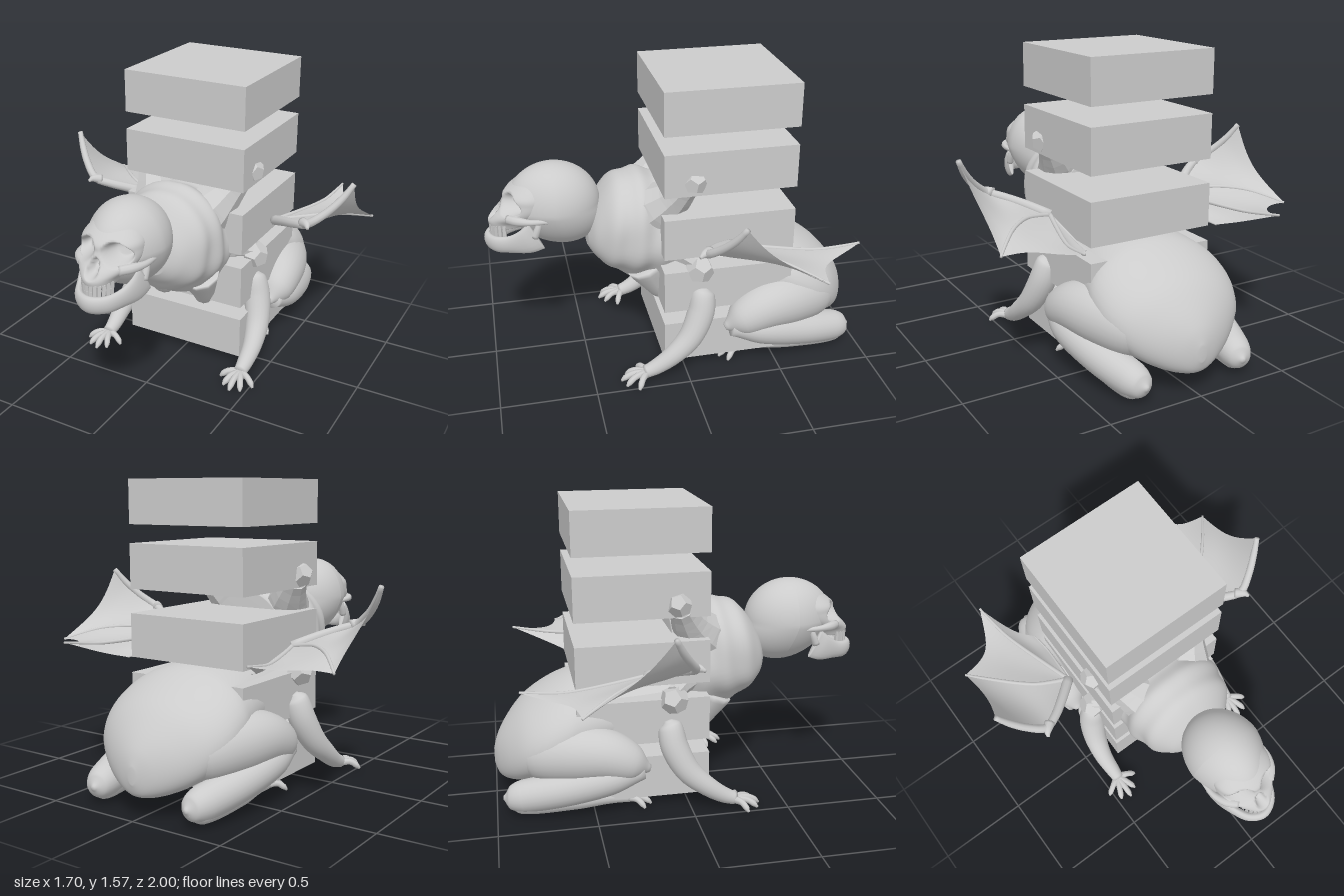
import * as THREE from 'three';

const grey = new THREE.MeshStandardMaterial({ color: 0xcccccc });
const greyFlat = new THREE.MeshStandardMaterial({ color: 0xcccccc, flatShading: true });
const greyThin = new THREE.MeshStandardMaterial({ color: 0xcccccc, side: THREE.DoubleSide });
const V = (x, y, z) => new THREE.Vector3(x, y, z);
const smooth = THREE.MathUtils.smoothstep;

function part(parent, name, geometry, material = grey) {
  const mesh = new THREE.Mesh(geometry, material);
  mesh.name = name;
  parent.add(mesh);
  return mesh;
}

// Closed skin over rows of rings; place(i, angle) gives a point, centre(i) the cap centre
function skin(rows, sides, place, centre) {
  const pos = [], idx = [];
  for (let i = 0; i <= rows; i++)
    for (let j = 0; j < sides; j++) pos.push(...place(i, (j / sides) * Math.PI * 2).toArray());
  const first = (rows + 1) * sides;
  pos.push(...centre(0).toArray(), ...centre(rows).toArray());
  for (let j = 0; j < sides; j++) {
    const k = (j + 1) % sides;
    for (let i = 0; i < rows; i++) {
      const a = i * sides + j, b = i * sides + k;
      idx.push(a, b, a + sides, b, b + sides, a + sides);
    }
    idx.push(first, k, j, first + 1, rows * sides + j, rows * sides + k);
  }
  const g = new THREE.BufferGeometry();
  g.setAttribute('position', new THREE.Float32BufferAttribute(pos, 3));
  g.setIndex(idx);
  g.computeVertexNormals();
  return g;
}

// Smooth sampling of a table of cross-sections
function sample(table, t) {
  const f = t * (table.length - 1), i = Math.min(Math.floor(f), table.length - 2), u = f - i;
  const at = (k) => table[Math.max(0, Math.min(table.length - 1, k))];
  return table[0].map((_, c) => {
    const [a, b, d, e] = [at(i - 1)[c], at(i)[c], at(i + 1)[c], at(i + 2)[c]];
    return b + 0.5 * u * (d - a + u * (2 * a - 5 * b + 4 * d - e + u * (3 * (b - d) + e - a)));
  });
}

// Tapered limb through points [x, y, z, radius, height radius if not round], starting from an "up" hint
function limb(points, sides, rows, up = V(0.31, 0.83, -0.46)) {
  const curve = new THREE.CatmullRomCurve3(points.map((p) => V(p[0], p[1], p[2])));
  const dirs = [], ups = [];
  for (let i = 0; i <= rows; i++) {
    dirs.push(curve.getTangent(i / rows));
    const n = (i ? ups[i - 1] : up).clone();
    ups.push(n.addScaledVector(dirs[i], -n.dot(dirs[i])).normalize());
  }
  const centre = (i) => curve.getPoint(i / rows);
  return skin(rows, sides, (i, a) => {
    const [, , , r, h = r] = sample(points, i / rows);
    return centre(i).addScaledVector(ups[i], Math.max(0.002, h) * Math.cos(a))
      .addScaledVector(dirs[i].clone().cross(ups[i]), Math.max(0.002, r) * Math.sin(a));
  }, centre);
}

// Body loft along z from rows [z, bottom, top, half width]
function loftZ(table, rows, sides, warp = (p) => p) {
  const centre = (i) => { const s = sample(table, i / rows); return V(0, (s[1] + s[2]) / 2, s[0]); };
  return skin(rows, sides, (i, a) => {
    const s = sample(table, i / rows);
    return warp(centre(i).add(V(s[3] * Math.cos(a), ((s[2] - s[1]) / 2) * Math.sin(a), 0)));
  }, centre);
}

// Eye sockets and nose opening pressed into the face
function carve(p) {
  const bowl = (dx, dy) => smooth(1.25 - Math.hypot(dx, dy), 0, 0.6);
  const eye = bowl((Math.abs(p.x) - 0.084) / 0.054, (p.y - 0.952 + 0.25 * (Math.abs(p.x) - 0.084)) / 0.044);
  const nose = bowl(p.x / (0.012 + 0.25 * Math.max(0, 0.94 - p.y)), (p.y - 0.893) / 0.038);
  p.z -= smooth(p.z, 0.72, 0.82) * (0.09 * eye + 0.055 * nose);
  return p;
}

function makeSkull() {
  const skull = new THREE.Group();
  skull.name = 'skull';
  // Braincase
  const brain = new THREE.SphereGeometry(1, 72, 56);
  const pos = brain.attributes.position;
  for (let i = 0; i < pos.count; i++) {
    const p = V(pos.getX(i), pos.getY(i), pos.getZ(i));
    const narrow = 1 - 0.16 * Math.max(0, p.z) - 0.14 * Math.max(0, -p.y);
    p.set(p.x * 0.203 * narrow, 0.905 + p.y * 0.225, 0.63 + p.z * 0.245 - 0.06 * Math.max(0, -p.y));
    carve(p);
    pos.setXYZ(i, p.x, p.y, p.z);
  }
  brain.computeVertexNormals();
  part(skull, 'cranium', brain);
  // Face from horizontal rings [y, z centre, half width, half depth]
  const face = [[0.812, 0.865, 0.078, 0.1], [0.845, 0.845, 0.095, 0.125], [0.88, 0.8, 0.135, 0.145],
    [0.915, 0.765, 0.155, 0.145], [0.955, 0.745, 0.16, 0.145], [0.995, 0.735, 0.155, 0.142], [1.05, 0.7, 0.12, 0.11]];
  const mid = (i) => { const s = sample(face, i / 48); return V(0, s[0], s[1]); };
  part(skull, 'face', skin(48, 96, (i, a) => {
    const s = sample(face, i / 48);
    return carve(mid(i).add(V(s[2] * Math.cos(a), 0, -s[3] * Math.sin(a))));
  }, mid));
  // Lower jaw as a bent plate, deep at the hinge and pointed at the chin
  const half = [[0.155, 0.795, 0.735, 0.014, 0.08], [0.145, 0.765, 0.79, 0.02, 0.07], [0.115, 0.742, 0.865, 0.022, 0.05],
    [0.07, 0.73, 0.94, 0.024, 0.046]];
  const jaw = [...half.map(([x, ...rest]) => [-x, ...rest]), [0, 0.728, 0.972, 0.026, 0.046], ...half.slice().reverse()];
  part(skull, 'jaw', limb(jaw, 16, 56, V(0, 1, 0)));
  for (const s of [-1, 1]) {
    part(skull, 'jawHinge', limb([[s * 0.155, 0.79, 0.745, 0.02], [s * 0.158, 0.84, 0.725, 0.018], [s * 0.155, 0.885, 0.71, 0.012]], 10, 8));
    part(skull, 'cheekbone', limb([[s * 0.1, 0.88, 0.87, 0.024], [s * 0.145, 0.885, 0.825, 0.024],
      [s * 0.175, 0.885, 0.76, 0.016], [s * 0.175, 0.88, 0.66, 0.012]], 10, 16));
  }
  // Two rows of teeth
  for (const [name, y, w] of [['upperTooth', 0.808, 0.08], ['lowerTooth', 0.775, 0.076]])
    for (let i = 0; i < 12; i++) {
      const a = ((i - 5.5) / 11) * 2.5;
      const tooth = part(skull, name, new THREE.BoxGeometry(0.016, 0.032, 0.016));
      tooth.position.set(w * Math.sin(a), y + 0.012 * (1 - Math.cos(a)), 0.86 + 0.1 * Math.cos(a));
      tooth.rotation.y = a;
    }
  return skull;
}

function makeWing(s) {
  const wing = new THREE.Group();
  wing.name = s > 0 ? 'leftWing' : 'rightWing';
  const root = V(s * 0.39, 0.76, -0.23);
  const P = (x, y, z) => V(s * x, y, z);
  // Ribs as curves from the root to the tips
  const ribs = [
    [P(0.54, 0.83, -0.1), P(0.65, 0.87, -0.04), P(0.77, 0.97, -0.11), P(0.84, 1.08, -0.17)],
    [P(0.55, 0.79, -0.3), P(0.7, 0.785, -0.44), P(0.825, 0.735, -0.595)],
    [P(0.46, 0.75, -0.45), P(0.52, 0.75, -0.66), P(0.55, 0.78, -0.86)],
    [P(0.38, 0.72, -0.36), P(0.375, 0.69, -0.47), P(0.385, 0.68, -0.58)],
  ].map((r) => new THREE.CatmullRomCurve3([root, ...r]));
  ribs.forEach((rib, k) => {
    const r = [0.028, 0.013, 0.013, 0.008][k];
    const pts = rib.getPoints(6).map((p, i) => [...p.toArray(), r * (i < 6 ? 1 - i / 15 : 0.5)]);
    part(wing, 'wingRib', limb(pts, 10, 24));
  });
  part(wing, 'wingClaw', limb([[s * 0.62, 0.865, -0.055, 0.028], [s * 0.655, 0.875, -0.02, 0.02], [s * 0.67, 0.865, 0.005, 0.008]], 10, 8));
  // Scalloped skin between neighbouring ribs
  for (let k = 0; k < 3; k++) {
    const n = 16, sheet = new THREE.PlaneGeometry(1, 1, n, n), pos = sheet.attributes.position;
    for (let i = 0; i < pos.count; i++) {
      const u = pos.getX(i) + 0.5, t = pos.getY(i) + 0.5, bow = Math.sin(Math.PI * u);
      const reach = t * (1 - [0.07, 0.14, 0.12][k] * bow);
      const p = ribs[k].getPoint(reach).lerp(ribs[k + 1].getPoint(reach), u);
      pos.setXYZ(i, p.x, p.y - 0.02 * bow * t, p.z);
    }
    sheet.computeVertexNormals();
    part(wing, 'wingMembrane', sheet, greyThin);
  }
  return wing;
}

// Spread digits from a palm
function addDigits(parent, name, s, x, y, z, tips, r) {
  for (const [dx, dz] of tips)
    part(parent, name, limb([[s * x, y, z, r * 1.3], [s * (x + dx * 0.55), y + 0.005, z + dz * 0.55, r],
      [s * (x + dx * 0.85), y - 0.015, z + dz * 0.85, r * 0.95], [s * (x + dx), 0.018, z + dz, r * 0.4]], 8, 10));
}

export function createModel() {
  const model = new THREE.Group();
  model.name = 'wingedSkullCreature';

  // Five floating slabs
  for (const [low, high] of [[0.065, 0.295], [0.37, 0.605], [0.685, 0.91], [1.035, 1.265], [1.36, 1.585]])
    part(model, 'slab', new THREE.BoxGeometry(0.69, high - low, 0.69)).position.set(0.012, (low + high) / 2, -0.235);

  model.add(makeSkull());

  // Hindquarters and back
  part(model, 'hindBody', loftZ([[-1, 0.19, 0.27, 0.02], [-0.975, 0.13, 0.35, 0.11], [-0.92, 0.11, 0.44, 0.22],
    [-0.84, 0.12, 0.53, 0.32], [-0.74, 0.15, 0.6, 0.375], [-0.63, 0.19, 0.655, 0.385], [-0.54, 0.22, 0.68, 0.365], [-0.4, 0.26, 0.69, 0.335],
    [-0.22, 0.29, 0.68, 0.31], [-0.05, 0.32, 0.66, 0.28], [0.08, 0.37, 0.65, 0.24]], 54, 48));

  // Lumpy chest behind the skull
  part(model, 'chest', loftZ([[-0.06, 0.4, 1.0, 0.24], [0.05, 0.4, 1.02, 0.265], [0.14, 0.43, 1.035, 0.285], [0.22, 0.455, 1.045, 0.288],
    [0.3, 0.485, 1.02, 0.272], [0.37, 0.53, 0.97, 0.24], [0.43, 0.59, 0.88, 0.18], [0.465, 0.65, 0.78, 0.09]], 48, 56, (p) => {
    const fold = 0.016 * Math.sin(46 * p.z + 6 * p.y) + 0.014 * Math.sin(23 * p.y + 14 * Math.abs(p.x) + 8 * p.z);
    p.x *= 1 + fold * 1.5;
    p.y += (p.y - 0.75) * fold * 1.5;
    return p;
  }));

  for (const s of [-1, 1]) {
    // Hanging chest points and shoulder stumps
    part(model, 'chestPoint', limb([[s * 0.14, 0.56, 0.17, 0.11], [s * 0.135, 0.45, 0.12, 0.075], [s * 0.125, 0.37, 0.08, 0.05], [s * 0.12, 0.325, 0.05, 0.015]], 10, 12));
    part(model, 'upperStump', limb([[s * 0.14, 0.88, 0.11, 0.14], [s * 0.21, 0.97, 0.03, 0.1], [s * 0.285, 1.07, -0.03, 0.065]], 9, 6), greyFlat);
    part(model, 'lowerStump', limb([[s * 0.18, 0.68, 0.04, 0.08], [s * 0.27, 0.65, -0.03, 0.05], [s * 0.34, 0.635, -0.08, 0.045]], 8, 6), greyFlat);
    // Faceted knobs on the sides
    for (const [x, y, z, r] of [[0.33, 1.1, -0.05, 0.065], [0.345, 0.605, -0.08, 0.076]]) {
      const knob = part(model, 'sideKnob', new THREE.DodecahedronGeometry(r, 0), greyFlat);
      knob.position.set(s * x, y, z);
      knob.rotation.set(0.3, s * 0.5, 0.2);
    }

    // Front arm and hand
    const arm = new THREE.Group();
    arm.name = s > 0 ? 'leftArm' : 'rightArm';
    part(arm, 'armFlesh', limb([[s * 0.33, 0.49, -0.11, 0.02], [s * 0.34, 0.46, -0.1, 0.06], [s * 0.365, 0.36, -0.085, 0.072],
      [s * 0.4, 0.23, -0.02, 0.065], [s * 0.42, 0.14, 0.08, 0.052], [s * 0.42, 0.08, 0.17, 0.042], [s * 0.42, 0.055, 0.23, 0.035]], 20, 30));
    addDigits(arm, 'finger', s, 0.42, 0.05, 0.22, [[-0.1, 0.04], [-0.05, 0.11], [0, 0.14], [0.055, 0.12], [0.1, 0.06]], 0.017);
    model.add(arm);

    // Folded hind leg and foot
    const leg = new THREE.Group();
    leg.name = s > 0 ? 'leftHindLeg' : 'rightHindLeg';
    part(leg, 'thigh', limb([[s * 0.14, 0.28, -0.86, 0.06], [s * 0.21, 0.31, -0.76, 0.14], [s * 0.285, 0.335, -0.6, 0.155],
      [s * 0.345, 0.335, -0.44, 0.135], [s * 0.375, 0.285, -0.3, 0.095], [s * 0.38, 0.25, -0.215, 0.02]], 28, 30));
    part(leg, 'shin', limb([[s * 0.385, 0.25, -0.25, 0.05], [s * 0.39, 0.22, -0.42, 0.085], [s * 0.355, 0.165, -0.65, 0.09],
      [s * 0.3, 0.12, -0.86, 0.085], [s * 0.285, 0.11, -0.93, 0.06], [s * 0.28, 0.11, -0.965, 0.01]], 24, 30));
    part(leg, 'foot', limb([[s * 0.285, 0.1, -0.95, 0.02], [s * 0.3, 0.09, -0.87, 0.065], [s * 0.32, 0.085, -0.6, 0.055],
      [s * 0.3, 0.07, -0.42, 0.038], [s * 0.29, 0.055, -0.31, 0.03]], 16, 24));
    addDigits(leg, 'toe', s, 0.29, 0.05, -0.32, [[-0.075, 0.06], [-0.03, 0.11], [0.03, 0.12], [0.08, 0.08]], 0.016);
    model.add(leg);

    model.add(makeWing(s));
  }
  return model;
}
